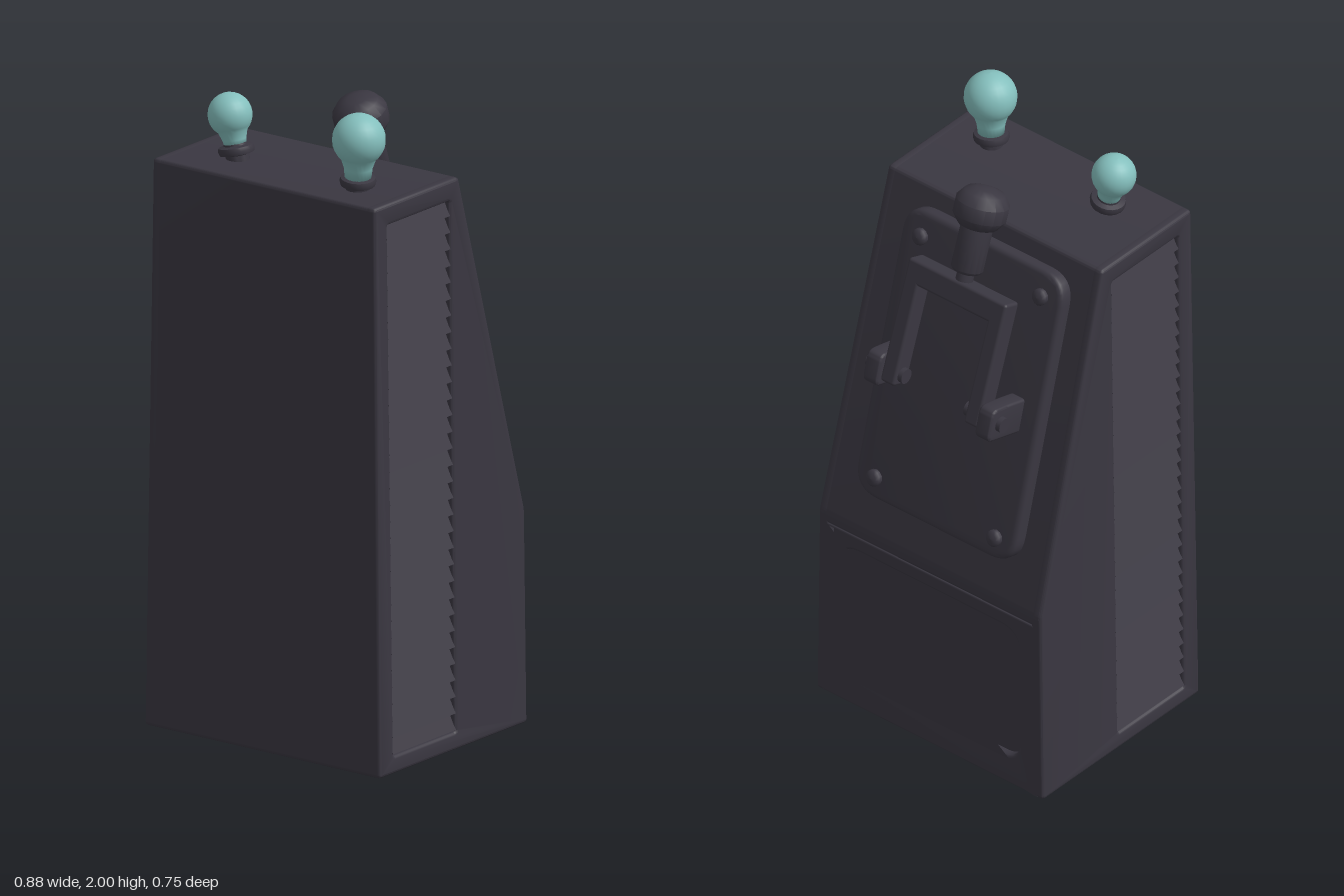
import * as THREE from 'three';
import { toCreasedNormals } from 'three/addons/utils/BufferGeometryUtils.js';
import { RoundedBoxGeometry } from 'three/addons/geometries/RoundedBoxGeometry.js';

const dark = new THREE.MeshStandardMaterial({ color: 0x3a3741 });
const glass = new THREE.MeshStandardMaterial({ color: 0x84bfbd });

function add(parent, name, geo, x = 0, y = 0, z = 0, mat = dark) {
  const mesh = new THREE.Mesh(geo, mat);
  mesh.name = name;
  mesh.position.set(x, y, z);
  parent.add(mesh);
  return mesh;
}

// Closed outline with softened corners
function outline(pts, r, Type = THREE.Shape) {
  const path = new Type();
  const v = pts.map(([x, y]) => new THREE.Vector2(x, y));
  v.forEach((p, i) => {
    const step = (q) => p.clone().add(q.clone().sub(p).setLength(r));
    const a = step(v[(i + v.length - 1) % v.length]);
    const b = step(v[(i + 1) % v.length]);
    if (i === 0) path.moveTo(a.x, a.y); else path.lineTo(a.x, a.y);
    path.quadraticCurveTo(p.x, p.y, b.x, b.y);
  });
  path.closePath();
  return path;
}

const rect = (x0, y0, x1, y1) => [[x0, y0], [x1, y0], [x1, y1], [x0, y1]];

// Extrusion of total thickness t, centred on z, bevelled by b inside its outline
function slab(shape, t, b, curveSegments = 6) {
  const geo = new THREE.ExtrudeGeometry(shape, {
    depth: t - 2 * b, curveSegments, bevelEnabled: b > 0,
    bevelSize: b, bevelThickness: b, bevelOffset: -b, bevelSegments: 3,
  });
  return geo.translate(0, 0, b - t / 2);
}

// Sides lean inwards with height
function taper(geo) {
  const p = geo.attributes.position;
  for (let i = 0; i < p.count; i++) p.setX(i, p.getX(i) * (1 - 0.032 * p.getY(i)));
  return toCreasedNormals(geo, 0.6);
}

function makeCabinet() {
  const cabinet = new THREE.Group();
  cabinet.name = 'cabinet';

  // Core, stepped in at the back for the lower panel
  const core = outline([[0.375, 0], [0.367, 1.76], [-0.04, 1.76], [-0.34, 0.66],
    [-0.34, 0.62], [-0.315, 0.62], [-0.315, 0]], 0.012);
  add(cabinet, 'cabinetCore', taper(slab(core, 0.82, 0).rotateY(-Math.PI / 2)));

  // Lower back frame around a recessed panel
  const frame = outline(rect(-0.42, 0, 0.42, 0.625), 0.002);
  frame.holes.push(outline(rect(-0.35, 0.1, 0.35, 0.57), 0.07, THREE.Path));
  add(cabinet, 'lowerBackFrame', taper(slab(frame, 0.035, 0.01).translate(0, 0, -0.3225)));

  // Side walls with a slatted vent
  for (const s of [-1, 1]) {
    const side = s > 0 ? 'left' : 'right';
    const wall = outline([[0.375, 0], [0.367, 1.76], [-0.04, 1.76], [-0.34, 0.66], [-0.34, 0]], 0.012);
    wall.holes.push(outline(rect(0.005, 0.055, 0.305, 1.695), 0.006, THREE.Path));
    add(cabinet, side + 'Wall',
      taper(slab(wall, 0.04, 0.01).rotateY(-Math.PI / 2).translate(s * 0.42, 0, 0)));

    const vent = new THREE.Group();
    vent.name = side + 'Vent';
    const count = 32, pitch = 1.64 / count;
    for (let i = 0; i < count; i++) {
      const slat = new THREE.BoxGeometry(0.012, 0.05, 0.304)
        .rotateZ(s * 0.45)
        .translate(s * 0.422, 0.055 + (i + 0.5) * pitch, 0.155);
      add(vent, 'slat', taper(slat));
    }
    cabinet.add(vent);
  }
  return cabinet;
}

function makeLever() {
  const lever = new THREE.Group();
  lever.name = 'lever';

  // Forked yoke
  for (const s of [-1, 1]) {
    add(lever, 'yokeArm', new RoundedBoxGeometry(0.055, 0.4, 0.065, 2, 0.01), s * 0.162, 0.165, 0);
  }
  add(lever, 'yokeBar', new RoundedBoxGeometry(0.379, 0.075, 0.065, 2, 0.01), 0, 0.328, 0);

  // Stem, grip and knob turned as one profile
  const profile = [[0, 0.35], [0.027, 0.35], [0.027, 0.395], [0.042, 0.395], [0.05, 0.405], [0.05, 0.54],
    [0.062, 0.545], [0.083, 0.575], [0.083, 0.62], [0.062, 0.65], [0.03, 0.662], [0, 0.664]];
  const grip = new THREE.LatheGeometry(profile.map(([x, y]) => new THREE.Vector2(x, y)), 16);
  add(lever, 'handle', toCreasedNormals(grip, 0.7));
  return lever;
}

function makeControlPanel() {
  const panel = new THREE.Group();
  panel.name = 'controlPanel';

  // Raised plate and corner screws
  const plate = outline(rect(-0.31, -0.472, 0.31, 0.472), 0.09);
  add(panel, 'controlPlate', toCreasedNormals(slab(plate, 0.07, 0.016, 8), 0.6), 0, 0, 0.008);
  for (const x of [-0.233, 0.233]) {
    for (const y of [-0.405, 0.39]) {
      const head = [[0.026, 0], [0.026, 0.014], [0.018, 0.023], [0, 0.025]];
      const geo = new THREE.LatheGeometry(head.map(([a, b]) => new THREE.Vector2(a, b)), 12);
      add(panel, 'screw', geo.rotateX(Math.PI / 2), x, y, 0.042);
    }
  }

  // Hinge lugs and pins
  for (const s of [-1, 1]) {
    const lug = outline([[-0.03, -0.055], [0.19, -0.055], [0.19, 0.05], [0.11, 0.055], [-0.03, 0.055]], 0.025);
    const geo = slab(lug, 0.055, 0.008).rotateY(-Math.PI / 2);
    add(panel, 'hingeLug', toCreasedNormals(geo, 0.6), s * 0.217, 0, 0);
    add(panel, 'hingePin', new THREE.CylinderGeometry(0.024, 0.024, 0.14, 14).rotateZ(Math.PI / 2),
      s * 0.19, 0, 0.144);
  }

  const lever = makeLever();
  lever.position.z = 0.144;
  lever.rotation.x = -0.075;
  panel.add(lever);

  // Lay the panel on the sloping back
  panel.position.set(-0.012, 1.245, -0.18);
  panel.rotation.set(0.267, Math.PI, 0);
  return panel;
}

// Light bulb of radius r with its centre h above the cabinet top
function makeBulb(name, r, h) {
  const bulb = new THREE.Group();
  bulb.name = name;
  const base = [[0, -0.02], [0.036, -0.02], [0.036, 0.012], [0.052, 0.016], [0.055, 0.027],
    [0.052, 0.038], [0.036, 0.042], [0.034, 0.05], [0, 0.05]];
  const ring = new THREE.LatheGeometry(base.map(([x, y]) => new THREE.Vector2(x, y)), 20);
  add(bulb, 'socket', toCreasedNormals(ring, 0.7));

  // Neck flowing into a round globe
  const pts = [[0, 0.04], [r * 0.5, 0.04], [r * 0.54, h - r * 1.12]];
  for (let i = 0; i <= 12; i++) {
    const a = -0.85 + (i / 12) * (Math.PI / 2 + 0.85);
    pts.push([Math.max(0, Math.cos(a) * r), h + Math.sin(a) * r]);
  }
  add(bulb, 'globe', new THREE.LatheGeometry(pts.map(([x, y]) => new THREE.Vector2(x, y)), 24), 0, 0, 0, glass);
  return bulb;
}

export function createModel() {
  const model = new THREE.Group();
  model.name = 'controlBox';
  model.add(makeCabinet(), makeControlPanel());

  const large = makeBulb('largeBulb', 0.08, 0.16);
  large.position.set(0.25, 1.76, 0.236);
  large.rotation.set(0.08, 0, -0.09);
  const small = makeBulb('smallBulb', 0.067, 0.134);
  small.position.set(-0.214, 1.76, 0.215);
  small.rotation.set(0, 0, 0.22);
  model.add(large, small);
  return model;
}
